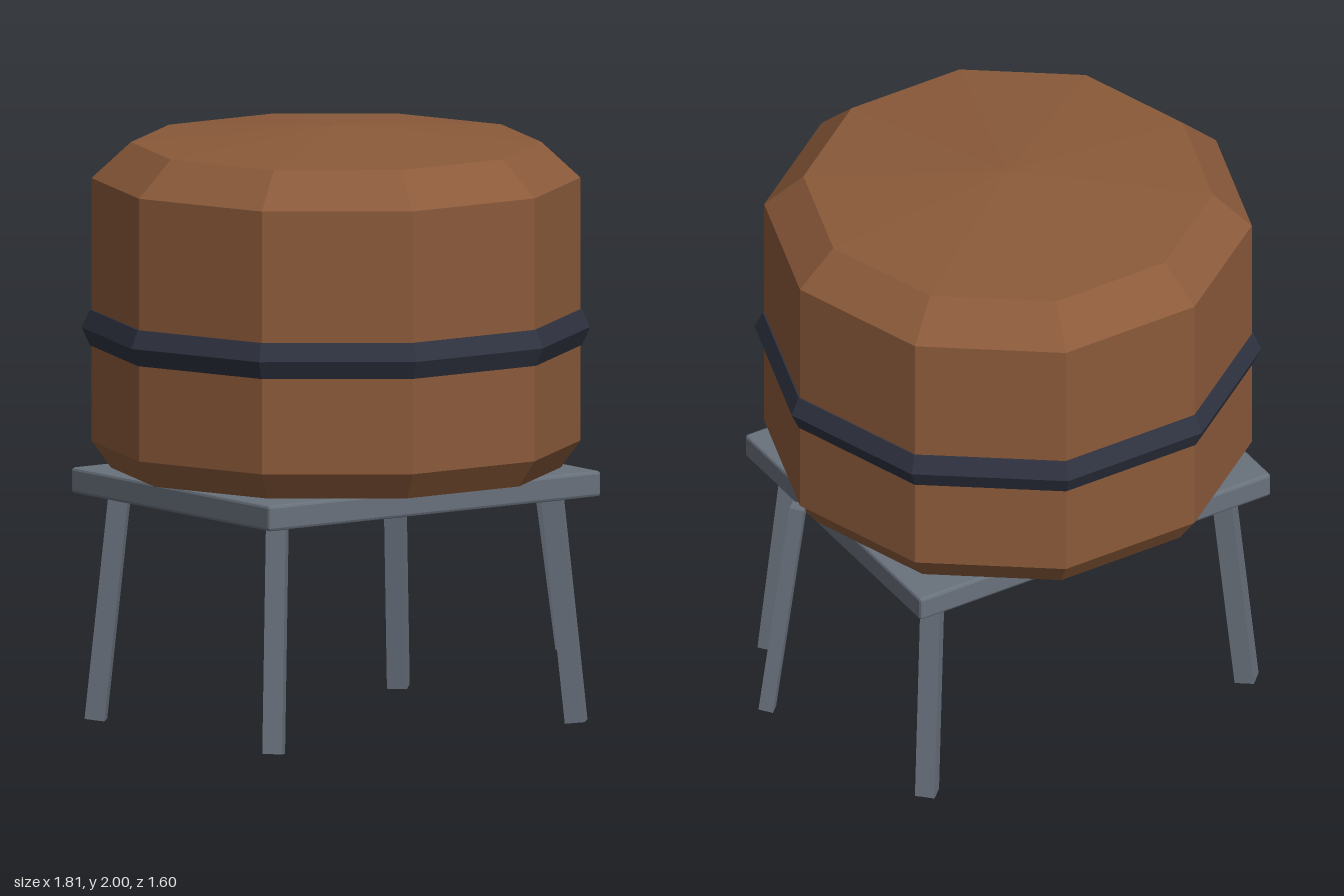
import * as THREE from 'three';
import { RoundedBoxGeometry } from 'three/addons/geometries/RoundedBoxGeometry.js';

const paint = (color) => new THREE.MeshStandardMaterial({ color, flatShading: true });
const wood = paint(0x8b5a3a);
const bandMetal = paint(0x2f3240);
const steel = paint(0x69717c);

function add(parent, name, geometry, material) {
  const mesh = new THREE.Mesh(geometry, material);
  mesh.name = name;
  parent.add(mesh);
  return mesh;
}

// Ten-sided turned shape with a corner on the x axis
function decagon(profile) {
  const points = profile.map(([r, y]) => new THREE.Vector2(r, y));
  return new THREE.LatheGeometry(points, 10, Math.PI / 2);
}

// Four-sided bar between two points, its edges facing the x and z axes
function bar(parent, name, from, to, radius) {
  const a = new THREE.Vector3(...from);
  const dir = new THREE.Vector3(...to).sub(a);
  const mesh = add(parent, name, new THREE.CylinderGeometry(radius, radius, dir.length(), 4), steel);
  mesh.position.copy(a).addScaledVector(dir, 0.5);
  mesh.quaternion.setFromUnitVectors(new THREE.Vector3(0, 1, 0), dir.normalize());
}

export function createModel() {
  const model = new THREE.Group();
  model.name = 'waterTank';

  // Everything is centred on the tank axis; the pipe pushes it off to one side
  const tower = new THREE.Group();
  tower.name = 'tower';
  tower.position.x = -0.07;
  model.add(tower);

  // Tank with bevelled rims and a shallow conical lid
  add(tower, 'tank', decagon([
    [0, 0.85], [0.745, 0.85], [0.81, 0.94], [0.81, 1.82], [0.68, 1.94], [0, 2],
  ]), wood);

  // Metal hoop around the middle
  add(tower, 'hoop', decagon([
    [0.79, 1.26], [0.815, 1.26], [0.842, 1.32], [0.815, 1.38], [0.79, 1.38],
  ]), bandMetal);

  // Platform with slightly bevelled edges
  const platform = add(tower, 'platform', new RoundedBoxGeometry(1.366, 0.086, 1.11, 1, 0.01), steel);
  platform.position.y = 0.802;

  // Splayed legs
  for (const [sx, side] of [[1, 'left'], [-1, 'right']]) {
    for (const [sz, end] of [[1, 'Front'], [-1, 'Back']]) {
      bar(tower, `${side}${end}Leg`, [sx * 0.622, 0.004, sz * 0.497], [sx * 0.563, 0.79, sz * 0.438], 0.047);
    }
  }

  // Outlet pipe leaning out from the tank's lower edge
  bar(tower, 'outletPipe', [0.937, 0.165, 0], [0.816, 0.94, 0], 0.035);

  return model;
}
